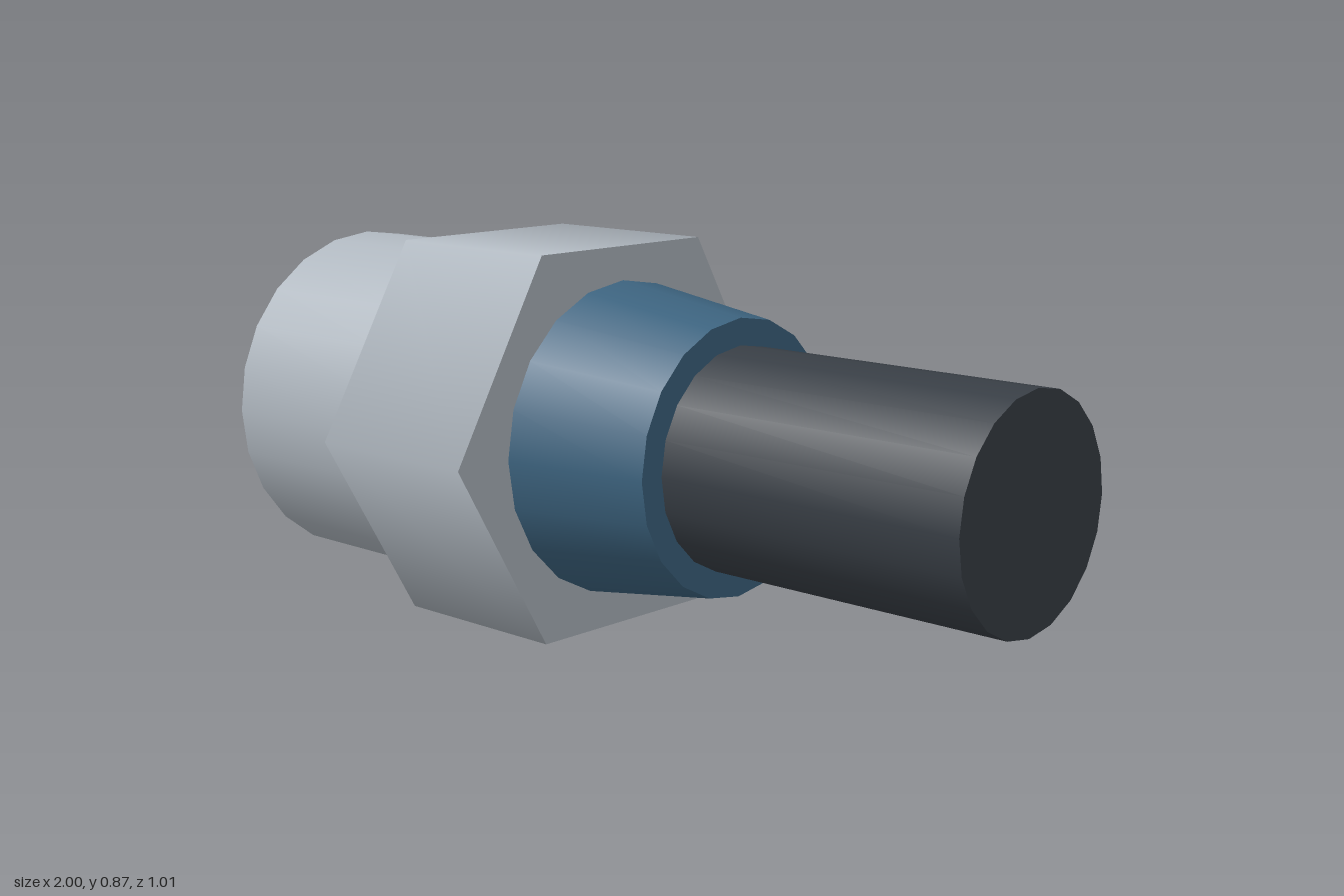
import * as THREE from 'three';

export function createModel() {
  const model = new THREE.Group();
  model.name = 'cableConnector';

  const material = (name, color) => {
    const m = new THREE.MeshStandardMaterial({ color });
    m.name = name;
    return m;
  };
  const metal = material('light grey metal', 0xb0b8c0);
  const blue = material('blue plastic', 0x3d6480);
  const rubber = material('dark rubber', 0x383e45);

  const axisY = 0.4375;

  // Closed section along x, from x0 (radius r0) to x1 (radius r1)
  const section = (name, x0, x1, r0, r1, sides, mat) => {
    const geometry = new THREE.CylinderGeometry(r1, r0, x1 - x0, sides);
    geometry.rotateZ(-Math.PI / 2);
    const mesh = new THREE.Mesh(geometry, mat);
    mesh.name = name;
    mesh.position.set((x0 + x1) / 2, axisY, 0);
    model.add(mesh);
  };

  section('connectorBarrel', -1, -0.55, 0.405, 0.405, 24, metal);
  section('hexNut', -0.55, -0.1, 0.505, 0.505, 6, metal);
  section('taperedCollar', -0.1, 0.25, 0.36, 0.31, 20, blue);
  section('cable', 0.25, 1, 0.25, 0.25, 20, rubber);

  return model;
}
